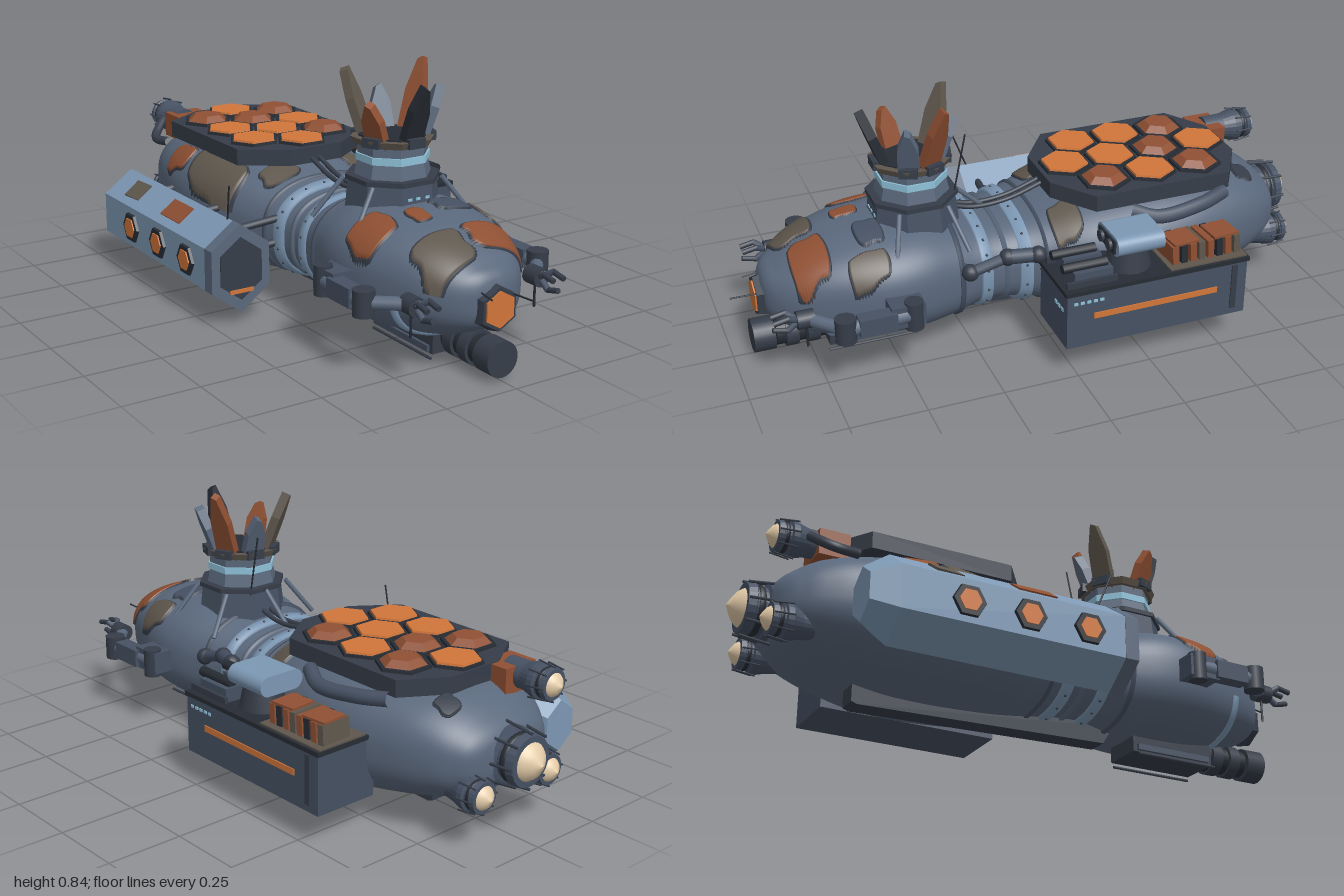
import * as THREE from 'three';

const M = (name, color) => Object.assign(new THREE.MeshStandardMaterial({ color }), { name });
const slate = M('hull slate', 0x5a687c), light = M('light steel blue', 0x7d98b4), pale = M('pale blue', 0x8fc1d9);
const dark = M('dark grey', 0x363d49), black = M('near black', 0x272c34), orange = M('orange', 0xd1763a);
const rust = M('rust', 0x8f5033), brown = M('grey brown', 0x5f574d), cream = M('cream', 0xe3cba8), mid = M('mid slate', 0x465163);

const V = (x, y, z) => new THREE.Vector3(x, y, z);
function add(parent, name, geo, mat, pos = [0, 0, 0], rot = [0, 0, 0]) {
  const m = new THREE.Mesh(geo, mat);
  m.name = name; m.position.set(...pos); m.rotation.set(...rot);
  parent.add(m);
  return m;
}
const box = (w, h, d) => new THREE.BoxGeometry(w, h, d);
const cylZ = (r0, r1, len, n = 24) => new THREE.CylinderGeometry(r0, r1, len, n).rotateX(Math.PI / 2);
function flat(geo) {
  const g = geo.index ? geo.toNonIndexed() : geo;
  g.computeVertexNormals();
  return g;
}
function rod(parent, name, mat, a, b, r, n = 10) {
  const A = V(...a), B = V(...b), d = B.clone().sub(A);
  const m = add(parent, name, new THREE.CylinderGeometry(r, r, d.length(), n), mat, A.clone().add(B).multiplyScalar(0.5).toArray());
  m.quaternion.setFromUnitVectors(V(0, 1, 0), d.normalize());
  return m;
}
const tube = (pts, r) => new THREE.TubeGeometry(new THREE.CatmullRomCurve3(pts.map(p => V(...p))), 32, r, 10);

// Grid surface: i runs from front to back, j runs from the top towards +x
function grid(fn, nu, nv, closed) {
  const pos = [], idx = [], row = closed ? nv : nv + 1;
  for (let i = 0; i <= nu; i++) for (let j = 0; j < row; j++) pos.push(...fn(i / nu, j / nv).toArray());
  for (let i = 0; i < nu; i++) for (let j = 0; j < nv; j++) {
    const k = (j + 1) % row, a = i * row + j, b = i * row + k, c = a + row, d = b + row;
    idx.push(a, b, c, b, d, c);
  }
  const g = new THREE.BufferGeometry();
  g.setAttribute('position', new THREE.Float32BufferAttribute(pos, 3));
  g.setIndex(idx);
  g.computeVertexNormals();
  return g;
}
// Flat-sided prism along z from a clockwise profile and [z, scale] stations
const loft = (prof, st) => flat(grid((u, v) => {
  const [z, s] = st[Math.round(u * (st.length - 1))], p = prof[Math.round(v * prof.length) % prof.length];
  return V(p[0] * s, p[1] * s, z);
}, st.length - 1, prof.length, true));

// Hull stations: z, half width, top, bottom
const ST = [[0.905, 0.004, 0.235, 0.225], [0.89, 0.07, 0.3, 0.17], [0.85, 0.13, 0.335, 0.135], [0.78, 0.185, 0.375, 0.105], [0.7, 0.222, 0.405, 0.085],
  [0.6, 0.255, 0.425, 0.07], [0.5, 0.27, 0.432, 0.065], [0.4, 0.262, 0.43, 0.065], [0.3, 0.236, 0.41, 0.075], [0.2, 0.213, 0.385, 0.095],
  [0.1, 0.213, 0.382, 0.09], [0, 0.24, 0.4, 0.075], [-0.1, 0.28, 0.43, 0.062], [-0.2, 0.31, 0.45, 0.055], [-0.35, 0.33, 0.468, 0.05],
  [-0.5, 0.323, 0.468, 0.055], [-0.65, 0.288, 0.45, 0.08], [-0.75, 0.25, 0.425, 0.105], [-0.83, 0.2, 0.38, 0.14], [-0.88, 0.13, 0.33, 0.19], [-0.895, 0.004, 0.265, 0.255]];
const EXP = 2.5;
function station(z) {
  let i = 0;
  while (i < ST.length - 2 && z < ST[i + 1][0]) i++;
  const a = ST[i], b = ST[i + 1], p = ST[Math.max(i - 1, 0)], n = ST[Math.min(i + 2, ST.length - 1)], h = b[0] - a[0];
  const t = THREE.MathUtils.clamp((z - a[0]) / h, 0, 1), t2 = t * t, t3 = t2 * t;
  return [1, 2, 3].map(k => {
    const m0 = (b[k] - p[k]) / (b[0] - p[0]) * h, m1 = (n[k] - a[k]) / (n[0] - a[0]) * h;
    return (2 * t3 - 3 * t2 + 1) * a[k] + (t3 - 2 * t2 + t) * m0 + (3 * t2 - 2 * t3) * b[k] + (t3 - t2) * m1;
  });
}
function hullPoint(z, th) {
  const [w, top, bot] = station(z), s = Math.sin(th), c = Math.cos(th), f = q => Math.sign(q) * Math.abs(q) ** (2 / EXP);
  const cy = bot + (top - bot) * 0.5;
  return V(w * f(s), cy + (top - bot) * 0.5 * f(c), z);
}
function skin(z, th, off) {
  const e = 0.02, p = hullPoint(z, th);
  const n = hullPoint(z, th + e).sub(hullPoint(z, th - e)).cross(hullPoint(z - e, th).sub(hullPoint(z + e, th))).normalize();
  return p.addScaledVector(n, off);
}
const angleAt = (x, z) => Math.sign(x) * Math.asin(Math.min(Math.abs(x) / station(z)[0], 0.995) ** (EXP / 2));

// Welded plates following the hull, placed by their plan rectangle
function patch(parent, mat, x0, x1, z0, z1, off = 0.008) {
  [[dark, 1.07, off * 0.6, 0.05], [mat, 1, off, 0.02]].forEach(([m, k, o, jag]) => add(parent, 'hullPatch', grid((u, v) => {
    const s = 2 * u - 1, t = 2 * v - 1, edge = Math.abs(s) > 0.99 || Math.abs(t) > 0.99;
    const wob = 1 + jag * Math.sin(s * 40) - 0.06 * Math.sin(s * 5 + x0 * 30);
    const z = (z0 + z1) / 2 - (z1 - z0) / 2 * s * k * (1 - 0.12 * t * t);
    const x = (x0 + x1) / 2 + (x1 - x0) / 2 * t * k * wob * (1 - 0.3 * s ** 6);
    return skin(z, angleAt(x, z), edge ? -0.004 : o);
  }, 28, 20), m));
}
// Raised band around the hull
const band = (z, wid, off, a0 = 0, a1 = Math.PI * 2) => grid((u, v) => {
  const k = Math.round(u * 3);
  return skin(z + (k < 2 ? wid / 2 : -wid / 2), a0 + (a1 - a0) * v, k === 0 || k === 3 ? -0.005 : off);
}, 3, 64, a1 - a0 > 6);

function engine(parent, x, y, z, s) {
  const g = new THREE.Group();
  g.name = 'engine'; g.position.set(x, y, z); g.scale.setScalar(s); parent.add(g);
  const lathe = p => new THREE.LatheGeometry(p.map(q => new THREE.Vector2(...q)), 24).rotateX(-Math.PI / 2);
  add(g, 'engineHousing', flat(lathe([[0.06, -0.14], [0.075, -0.05], [0.09, 0], [0.09, 0.03], [0.075, 0.035], [0.075, 0.07], [0.085, 0.075], [0.08, 0.1], [0, 0.1]])), mid);
  add(g, 'engineRing', lathe([[0.076, 0.045], [0.08, 0.05], [0.08, 0.06], [0.076, 0.065]]), black);
  add(g, 'engineCone', lathe([[0.062, 0.098], [0.05, 0.115], [0.03, 0.13], [0.001, 0.146]]), cream);
  for (let i = 0; i < 8; i++) {
    const a = i * Math.PI / 4, c = Math.cos(a), d = Math.sin(a);
    rod(g, 'engineStrut', dark, [0.1 * c, 0.1 * d, 0], [0.088 * c, 0.088 * d, -0.1], 0.005, 6);
  }
}

export function createModel() {
  const root = new THREE.Group();
  root.name = 'patchedSpaceship';

  // Hull, bands and patches
  add(root, 'hull', grid((u, v) => hullPoint(0.005 + 0.9 * Math.cos(u * Math.PI), v * 2 * Math.PI), 90, 64, true), slate);
  [[0.065, 0.04, 0.012, light], [0.2, 0.035, 0.012, light], [0.13, 0.015, 0.008, slate], [0.29, 0.014, 0.008, mid], [0.0, 0.012, 0.006, mid]]
    .forEach(([z, w, o, m]) => add(root, 'neckBand', band(z, w, o), m));
  for (const z of [0.065, 0.2]) for (let i = 0; i < 20; i++)
    add(root, 'bandRivet', new THREE.SphereGeometry(0.005, 6, 4), dark, skin(z, (i + 0.5) * Math.PI / 10, 0.012).toArray());
  add(root, 'chinTrim', band(0.7, 0.02, 0.008, 1.7, Math.PI * 2 - 1.7), light);
  [[rust, 0.01, 0.19, 0.69, 0.81], [brown, -0.18, -0.01, 0.7, 0.84], [rust, -0.255, -0.13, 0.48, 0.62], [rust, -0.09, -0.03, 0.55, 0.64],
    [brown, 0.17, 0.25, 0.52, 0.65], [mid, 0.03, 0.15, 0.51, 0.6], [brown, -0.325, -0.2, -0.41, -0.13], [rust, -0.31, -0.24, -0.57, -0.43],
    [brown, -0.2, -0.07, -0.12, -0.03], [brown, 0.12, 0.25, -0.13, -0.03], [dark, 0.1, 0.17, -0.78, -0.71]].forEach(p => patch(root, ...p));

  // Nose porthole and whiskers
  add(root, 'portholeFrame', flat(cylZ(0.068, 0.08, 0.05, 6)), dark, [0, 0.215, 0.89]);
  add(root, 'portholeGlass', flat(cylZ(0.057, 0.057, 0.006, 6)), orange, [0, 0.215, 0.917]);
  rod(root, 'whisker', black, [0.05, 0.25, 0.88], [0.055, 0.255, 1.0], 0.003, 6);
  rod(root, 'whisker', black, [-0.05, 0.27, 0.88], [-0.05, 0.26, 0.94], 0.003, 6);

  // Chin scanner and keel
  add(root, 'scannerHousing', box(0.14, 0.1, 0.31), dark, [0, 0.065, 0.54]);
  add(root, 'scannerBase', box(0.16, 0.02, 0.28), mid, [0, 0.03, 0.54]);
  [[0.046, 0.7, 0.86], [0.056, 0.72, 0.76], [0.056, 0.79, 0.83], [0.056, 0.865, 0.935]].forEach(([r, a, b], i) =>
    add(root, 'scannerBarrel', cylZ(r, r, b - a), i ? dark : black, [0, 0.067, (a + b) / 2]));
  for (const s of [-1, 1]) rod(root, 'scannerRail', dark, [s * 0.08, 0.006, 0.4], [s * 0.08, 0.006, 0.7], 0.005, 6);
  const keel = new THREE.Shape([[-0.33, 0.1], [-0.29, 0.035], [0.58, 0.008], [0.6, 0.015], [0.6, 0.1]].map(p => new THREE.Vector2(...p)));
  add(root, 'keel', new THREE.ExtrudeGeometry(keel, { depth: 0.07, bevelEnabled: false }).rotateY(Math.PI / 2), dark, [-0.035, 0, 0]);

  // Tower and crown of fins
  const tower = new THREE.Group();
  tower.name = 'tower'; tower.position.set(0, 0, 0.38); root.add(tower);
  [[0.14, 0.155, 0.36, 0.49, mid], [0.15, 0.15, 0.485, 0.5, dark], [0.112, 0.122, 0.5, 0.545, slate], [0.118, 0.118, 0.545, 0.568, pale],
    [0.112, 0.112, 0.568, 0.6, slate], [0.135, 0.125, 0.598, 0.62, brown], [0.11, 0.11, 0.615, 0.624, black]].forEach(([rt, rb, y0, y1, m]) =>
    add(tower, 'towerTier', flat(new THREE.CylinderGeometry(rt, rb, y1 - y0, 8).rotateY(Math.PI / 8)), m, [0, (y0 + y1) / 2, 0]));
  for (const x of [-0.03, 0, 0.035]) add(tower, 'towerWindow', box(0.015, 0.008, 0.02), pale, [x, 0.445, 0.127]);
  [[0, 0.2, black], [70, 0.17, slate], [112, 0.24, rust], [212, 0.22, brown], [292, 0.14, rust], [165, 0.15, slate]].forEach(([deg, h, m]) => {
    const g = new THREE.Group(), outline = [[-0.036, -0.03], [0.036, -0.03], [0.034, h * 0.55], [0.012, h - 0.01], [-0.006, h], [-0.03, h * 0.6]];
    g.rotation.y = deg * Math.PI / 180; g.name = 'finMount'; tower.add(g);
    const geo = new THREE.ExtrudeGeometry(new THREE.Shape(outline.map(p => new THREE.Vector2(...p))), { depth: 0.03, bevelEnabled: false });
    add(g, 'towerFin', geo, m, [0, 0.615, 0.075], [0.36, 0, 0]);
    add(g, 'finClamp', box(0.06, 0.03, 0.03), dark, [0, 0.615, 0.115]);
  });
  for (const s of [-1, 1]) for (const z of [-0.08, 0.08]) rod(tower, 'towerStrut', slate, [s * 0.13, 0.485, z], [s * 0.22, 0.36, z * 1.5], 0.008);
  rod(root, 'towerAerial', black, [0.06, 0.47, 0.26], [0.06, 0.69, 0.215], 0.003, 6);
  rod(root, 'towerBrace', slate, [0, 0.49, 0.25], [0, 0.39, 0.14], 0.008);
  for (const x of [-0.015, 0.015]) add(root, 'spineCable', tube([[x, 0.43, 0.28], [x, 0.4, 0.18], [x, 0.405, 0.06], [x, 0.45, -0.08]], 0.008), dark);

  // Hexagon panel deck
  const deck = [[-0.1, 0.335], [0.1, 0.335], [0.245, 0.245], [0.245, -0.23], [0.1, -0.335], [-0.1, -0.335], [-0.245, -0.23], [-0.245, 0.245]];
  const deckShape = new THREE.Shape(deck.map(p => new THREE.Vector2(...p)));
  add(root, 'panelDeck', new THREE.ExtrudeGeometry(deckShape, { depth: 0.055, bevelEnabled: false }).rotateX(-Math.PI / 2), dark, [0, 0.43, -0.395]);
  [[0, -0.645, 1], [-0.14, -0.565, 0], [0.14, -0.565, 0], [0, -0.485, 0], [-0.14, -0.4, 1], [0.14, -0.4, 1], [0, -0.318, 1], [-0.14, -0.235, 1],
    [0.14, -0.235, 0], [0, -0.153, 1]].forEach(([x, z, glow]) => {
    add(root, 'panelFrame', flat(new THREE.CylinderGeometry(0.088, 0.09, 0.012, 6).rotateY(Math.PI / 6)), black, [x, 0.488, z]);
    add(root, 'hexPanel', flat(new THREE.CylinderGeometry(glow ? 0.078 : 0.05, 0.08, glow ? 0.008 : 0.024, 6).rotateY(Math.PI / 6)), glow ? orange : rust, [x, glow ? 0.497 : 0.502, z]);
  });

  // Rear engines
  engine(root, 0, 0.26, -0.855, 1);
  engine(root, -0.145, 0.175, -0.85, 0.62);
  engine(root, 0.145, 0.175, -0.85, 0.62);
  engine(root, -0.14, 0.45, -0.85, 0.62);
  add(root, 'boosterBody', cylZ(0.045, 0.045, 0.12), mid, [-0.14, 0.45, -0.8]);
  add(root, 'boosterTank', box(0.13, 0.085, 0.1), rust, [-0.13, 0.44, -0.74]);
  add(root, 'boosterPipe', tube([[-0.19, 0.45, -0.82], [-0.25, 0.4, -0.76], [-0.24, 0.4, -0.68]], 0.016), dark);

  // Side pod on the right
  const pod = new THREE.Group();
  pod.name = 'sidePod'; pod.position.set(-0.405, 0.185, 0); root.add(pod);
  const hex = [[0, 0.145], [0.103, 0.07], [0.103, -0.068], [0, -0.145], [-0.103, -0.068], [-0.103, 0.07]];
  add(pod, 'podShell', loft(hex, [[0.09, 0], [0.09, 1], [-0.65, 1], [-0.73, 0.6], [-0.73, 0]]), light);
  add(pod, 'podCollar', loft(hex, [[0.132, 0], [0.132, 1.01], [0.085, 1.01], [0.085, 0]]), slate);
  add(pod, 'podHatch', loft(hex, [[0.136, 0], [0.136, 0.72], [0.13, 0.72], [0.13, 0]]), dark);
  add(pod, 'podStripe', box(0.085, 0.013, 0.006), orange, [0, -0.073, 0.137]);
  for (const z of [-0.44, -0.24, -0.04]) {
    add(pod, 'podWindowFrame', flat(new THREE.CylinderGeometry(0.052, 0.056, 0.012, 6).rotateZ(Math.PI / 2)), black, [-0.106, 0, z]);
    add(pod, 'podWindow', flat(new THREE.CylinderGeometry(0.036, 0.036, 0.006, 6).rotateZ(Math.PI / 2)), orange, [-0.113, 0, z]);
  }
  const slope = Math.atan2(0.075, 0.103);
  add(pod, 'podPatch', box(0.07, 0.008, 0.09), brown, [-0.05, 0.11, -0.49], [0, 0.08, slope]);
  add(pod, 'podPatch', box(0.07, 0.008, 0.13), rust, [-0.05, 0.11, -0.2], [0, 0, slope]);
  rod(pod, 'podAerial', black, [0, 0.13, 0.05], [-0.02, 0.265, 0.1], 0.003, 6);
  for (const z of [0.03, -0.2, -0.5]) for (const y of [0.2, 0.28]) rod(root, 'podStrut', dark, [-0.36, y, z], [-0.2, y + 0.02, z + 0.02], 0.013);

  // Cargo box on the left
  add(root, 'cargoBox', box(0.22, 0.195, 0.625), mid, [0.385, 0.205, -0.272]);
  add(root, 'cargoRim', box(0.232, 0.014, 0.637), black, [0.384, 0.305, -0.272]);
  add(root, 'cargoLid', box(0.18, 0.006, 0.27), brown, [0.4, 0.314, -0.45]);
  add(root, 'cargoStripe', box(0.005, 0.02, 0.43), orange, [0.496, 0.213, -0.265]);
  add(root, 'cargoHinge', box(0.006, 0.16, 0.02), dark, [0.496, 0.21, -0.54]);
  for (let i = 0; i < 5; i++) add(root, 'cargoLamp', box(0.005, 0.009, 0.013), pale, [0.496, 0.268, 0.012 - i * 0.022]);
  for (let i = 0; i < 3; i++) add(root, 'cargoFrontLamp', box(0.016, 0.011, 0.005), pale, [0.408 + i * 0.025, 0.235, 0.041]);
  for (let i = 0; i < 8; i++) add(root, 'cargoSlab', box(0.11, 0.065, 0.022), [rust, black, rust, brown][i % 4], [0.41, 0.347, -0.34 - i * 0.031], [0.06, 0.06, 0]);
  for (const z of [-0.38, -0.52]) add(root, 'slabCover', box(0.09, 0.008, 0.09), rust, [0.415, 0.383, z], [0, 0.08, 0]);
  for (const z of [0, -0.2, -0.42]) rod(root, 'cargoStrut', dark, [0.3, 0.25, z], [0.2, 0.25, z], 0.025);

  // Turret on the cargo box
  add(root, 'turretBase', new THREE.CylinderGeometry(0.06, 0.075, 0.075, 16), dark, [0.39, 0.347, -0.21]);
  const body = new THREE.Shape().absarc(0.05, 0, 0.032, -Math.PI / 2, Math.PI / 2).absarc(-0.05, 0, 0.032, Math.PI / 2, Math.PI * 1.5);
  add(root, 'turretHead', new THREE.ExtrudeGeometry(body, { depth: 0.16, bevelEnabled: false }), light, [0.39, 0.412, -0.3]);
  add(root, 'turretFace', box(0.12, 0.045, 0.008), black, [0.39, 0.412, -0.137]);
  for (const s of [-1, 1]) {
    add(root, 'turretLens', cylZ(0.019, 0.019, 0.014, 16), dark, [0.39 + s * 0.03, 0.412, -0.13]);
    add(root, 'gunBlock', box(0.065, 0.045, 0.13), mid, [0.39 + s * 0.045, 0.335, -0.06]);
    add(root, 'gunBarrel', cylZ(0.016, 0.016, 0.15, 12), black, [0.39 + s * 0.045, 0.365, -0.04]);
    add(root, 'gunRail', box(0.012, 0.02, 0.17), dark, [0.39 + s * 0.085, 0.325, -0.05]);
  }

  // Jointed hose and side pipe
  rod(root, 'hoseSegment', mid, [0.3, 0.35, 0.06], [0.265, 0.34, 0.15], 0.024);
  rod(root, 'hoseSegment', mid, [0.265, 0.34, 0.15], [0.25, 0.3, 0.27], 0.018);
  rod(root, 'hoseSegment', mid, [0.25, 0.3, 0.27], [0.19, 0.3, 0.29], 0.018);
  for (const p of [[0.3, 0.35, 0.06], [0.265, 0.34, 0.15], [0.25, 0.3, 0.27]]) add(root, 'hoseJoint', new THREE.SphereGeometry(0.028, 14, 10), dark, p);
  add(root, 'sidePipe', tube([[0.25, 0.42, -0.62], [0.285, 0.41, -0.52], [0.295, 0.4, -0.36], [0.26, 0.42, -0.28]], 0.024), mid);

  // Grabber arms
  for (const s of [-1, 1]) {
    const arm = new THREE.Group();
    arm.name = s > 0 ? 'leftArm' : 'rightArm'; root.add(arm);
    const P = (x, y, z) => [s * x, y, z];
    add(arm, 'shoulder', box(0.09, 0.075, 0.11), mid, P(0.29, 0.24, 0.5));
    rod(arm, 'shoulderPin', dark, P(0.32, 0.19, 0.48), P(0.32, 0.285, 0.48), 0.03, 16);
    rod(arm, 'upperArm', slate, P(0.32, 0.24, 0.48), P(0.325, 0.235, 0.7), 0.024);
    add(arm, 'armGuard', box(0.05, 0.06, 0.12), mid, P(0.325, 0.237, 0.6));
    rod(arm, 'elbow', dark, P(0.325, 0.195, 0.7), P(0.325, 0.275, 0.7), 0.034, 16);
    rod(arm, 'forearm', slate, P(0.325, 0.235, 0.7), P(0.235, 0.24, 0.79), 0.021);
    rod(arm, 'wrist', dark, P(0.23, 0.24, 0.775), P(0.23, 0.24, 0.83), 0.03, 14);
    for (const [x, y] of [[0.21, 0.265], [0.25, 0.265], [0.23, 0.21]]) {
      rod(arm, 'finger', mid, P(0.23, 0.24, 0.82), P(x, y, 0.86), 0.01, 8);
      rod(arm, 'fingerTip', dark, P(x, y, 0.855), P(x, 0.24 + (y - 0.24) * 0.6, 0.905), 0.009, 8);
    }
    rod(arm, 'armSpike', black, P(0.23, 0.22, 0.8), P(0.23, 0.14, 0.8), 0.004, 6);
  }
  return root;
}
